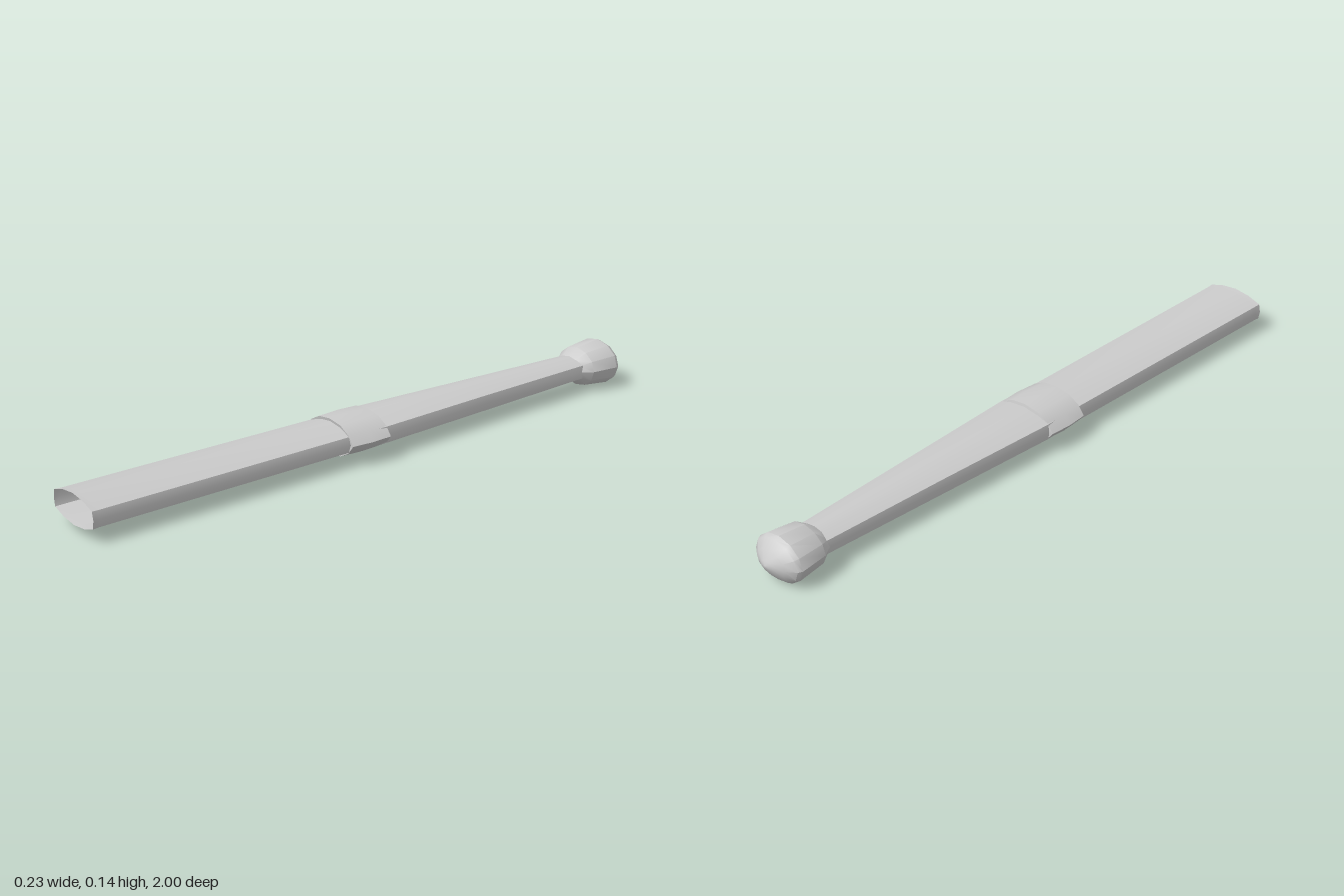
import * as THREE from 'three';
import { toCreasedNormals } from 'three/addons/utils/BufferGeometryUtils.js';

const CENTRE_Y = 0.072;
const material = new THREE.MeshStandardMaterial({ color: 0xcccccc, side: THREE.DoubleSide });

// Mirrors a quarter outline (from the side point up to the top) into a closed counter-clockwise section.
function section(quarter) {
  const upper = [...quarter, ...quarter.slice(0, -1).reverse().map(([x, y]) => [-x, y])];
  return [...upper, ...upper.slice(1, -1).map(([x, y]) => [-x, -y])];
}

// Skins a section through stations [z, half width, half height], listed from front to back.
function loft(name, outline, stations, crease) {
  const n = outline.length, positions = [], index = [];
  stations.forEach(([z, w, h]) => outline.forEach(([x, y]) => positions.push(x * w, CENTRE_Y + y * h, z)));
  for (let i = 0; i < stations.length - 1; i++) {
    for (let j = 0; j < n; j++) {
      const k = (j + 1) % n;
      const a = i * n + j, b = i * n + k, c = a + n, d = b + n;
      index.push(a, c, b);
      if (stations[i + 1][1] > 0) index.push(b, c, d); // skip collapsed faces at an apex
    }
  }
  const geometry = new THREE.BufferGeometry();
  geometry.setAttribute('position', new THREE.Float32BufferAttribute(positions, 3));
  geometry.setIndex(index);
  const mesh = new THREE.Mesh(toCreasedNormals(geometry, crease), material);
  mesh.name = name;
  return mesh;
}

export function createModel() {
  const group = new THREE.Group();
  group.name = 'scabbard';

  const bodyOutline = section([[1, 0], [0.95, 0.55], [0.52, 0.86], [0, 1]]);
  const bandOutline = section([[1, 0], [0.8, 0.5], [0.46, 0.87], [0, 1]]);
  const tipOutline = section([0, 1, 2, 3].map((i) => [Math.cos(i * Math.PI / 6), Math.sin(i * Math.PI / 6)]));

  // Hollow sheath, open at the mouth and tapering behind the band
  group.add(loft('sheath', bodyOutline, [
    [1, 0.103, 0.047], [0.98, 0.102, 0.045], [0.14, 0.096, 0.044], [0, 0.1, 0.046],
    [-0.4, 0.079, 0.044], [-0.84, 0.058, 0.039],
  ], 0.55));

  // Raised collar around the middle
  group.add(loft('middleBand', bandOutline, [
    [0.138, 0.098, 0.046], [0.14, 0.111, 0.055], [0.07, 0.117, 0.057],
    [0.002, 0.113, 0.055], [0, 0.1, 0.046],
  ], 0.55));

  // Flared end cap with a domed point
  group.add(loft('endCap', tipOutline, [
    [-0.82, 0.058, 0.038], [-0.855, 0.08, 0.062], [-0.945, 0.091, 0.0715], [-0.958, 0.085, 0.064],
    [-0.98, 0.055, 0.039], [-0.994, 0.022, 0.015], [-1, 0, 0],
  ], 0.6));

  return group;
}
